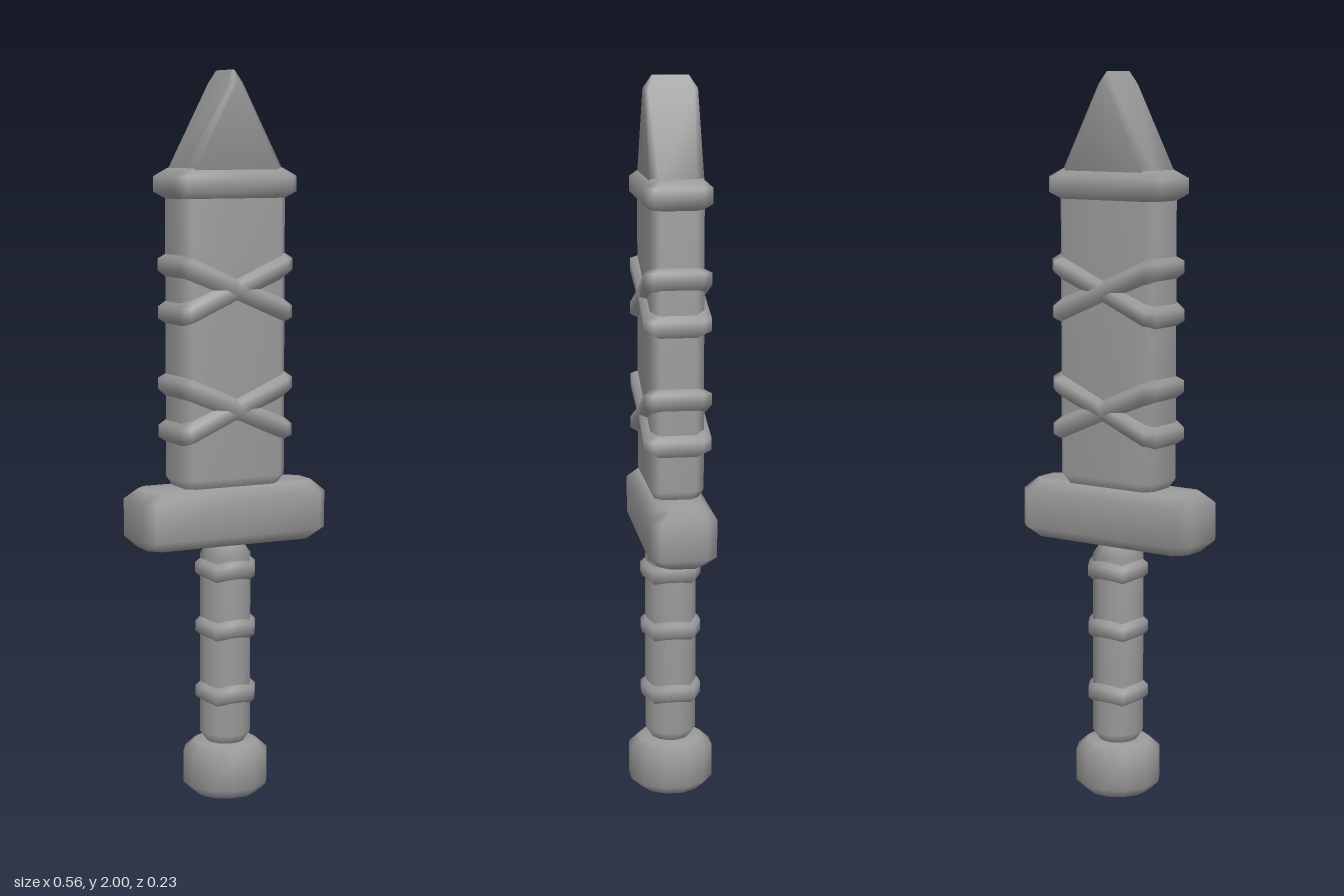
import * as THREE from 'three';

// Skin a stack of closed cross-sections (each a loop of [x, y, z]) and cap both ends.
function skin(loops) {
  const n = loops[0].length, pos = [], index = [];
  loops.forEach(l => l.forEach(p => pos.push(...p)));
  for (let j = 0; j < loops.length - 1; j++) {
    for (let i = 0; i < n; i++) {
      const a = j * n + i, b = j * n + (i + 1) % n;
      index.push(a, b, b + n, a, b + n, a + n);
    }
  }
  [0, loops.length - 1].forEach((j, top) => {
    const c = pos.length / 3;
    const mean = k => loops[j].reduce((s, p) => s + p[k], 0) / n;
    pos.push(mean(0), mean(1), mean(2));
    for (let i = 0; i < n; i++) {
      const a = j * n + i, b = j * n + (i + 1) % n;
      index.push(c, top ? a : b, top ? b : a);
    }
  });
  const g = new THREE.BufferGeometry();
  g.setAttribute('position', new THREE.Float32BufferAttribute(pos, 3));
  g.setIndex(index);
  g.computeVertexNormals();
  return g;
}

// Rectangle with cut corners and a middle point on the front and back edges.
// slope tilts the loop across x; mid scales the depth at the middle.
function rect(y, hx, hz, c, slope = 0, mid = 1) {
  const pts = [
    [0, hz * mid], [hx - c, hz], [hx, hz - c], [hx, c - hz], [hx - c, -hz],
    [0, -hz * mid], [c - hx, -hz], [-hx, c - hz], [-hx, hz - c], [c - hx, hz],
  ];
  return pts.map(([x, z]) => [x, y + slope * THREE.MathUtils.clamp(x, -0.155, 0.155), z]);
}

// Regular twelve-sided loop with a flat facing front; wave makes it uneven.
function round(y, r, wave = 0) {
  const R = r / Math.cos(Math.PI / 12);
  return Array.from({ length: 12 }, (_, i) => {
    const a = (i + 0.5) * Math.PI / 6;
    return [R * Math.sin(a), y + wave * Math.cos(4 * a), R * Math.cos(a)];
  });
}

export function createModel() {
  const group = new THREE.Group();
  const grey = new THREE.MeshStandardMaterial({ color: 0x9a9a9a });
  grey.name = 'grey';
  const add = (name, loops) => {
    const mesh = new THREE.Mesh(skin(loops), grey);
    mesh.name = name;
    group.add(mesh);
  };

  // Pommel and grip
  add('pommel', [round(0, 0.083), round(0.03, 0.115), round(0.12, 0.115), round(0.148, 0.085)]);
  add('grip', [round(0.14, 0.045), round(0.175, 0.069), round(0.68, 0.069), round(0.715, 0.045)]);
  [0.29, 0.475, 0.64].forEach((y, i) => add('gripRing' + (i + 1), [
    round(y - 0.03, 0.064, 0.006), round(y - 0.014, 0.082, 0.006),
    round(y + 0.014, 0.082, 0.006), round(y + 0.03, 0.064, 0.006),
  ]));

  // Crossguard
  add('crossguard', [
    rect(0.712, 0.25, 0.063, 0.03), rect(0.742, 0.279, 0.092, 0.03),
    rect(0.845, 0.279, 0.092, 0.03), rect(0.875, 0.25, 0.063, 0.03),
  ]);

  // Blade body and pointed tip
  add('blade', [
    rect(0.865, 0.135, 0.055, 0.022), rect(0.9, 0.157, 0.073, 0.024),
    rect(1.72, 0.157, 0.073, 0.024),
  ]);
  add('bladeTip', [
    rect(1.72, 0.157, 0.073, 0.024), rect(1.965, 0.022, 0.073, 0.012), rect(2, 0.004, 0.05, 0.003),
  ]);

  // Collar below the tip
  add('collar', [
    rect(1.655, 0.152, 0.068, 0.024), rect(1.676, 0.184, 0.092, 0.026),
    rect(1.718, 0.184, 0.092, 0.026), rect(1.74, 0.152, 0.068, 0.024),
  ]);

  // Two pairs of crossed bands wound around the blade
  [1.09, 1.415].forEach((y, i) => [-0.42, 0.42].forEach(slope => {
    const band = [[-0.037, 0.15, 0.066], [-0.016, 0.171, 0.092], [0.016, 0.171, 0.092], [0.037, 0.15, 0.066]];
    add(`wrap${i + 1}${slope < 0 ? 'Falling' : 'Rising'}`,
      band.map(([dy, hx, hz]) => rect(y + dy, hx, hz, 0.024, slope, 0.96)));
  }));

  return group;
}
